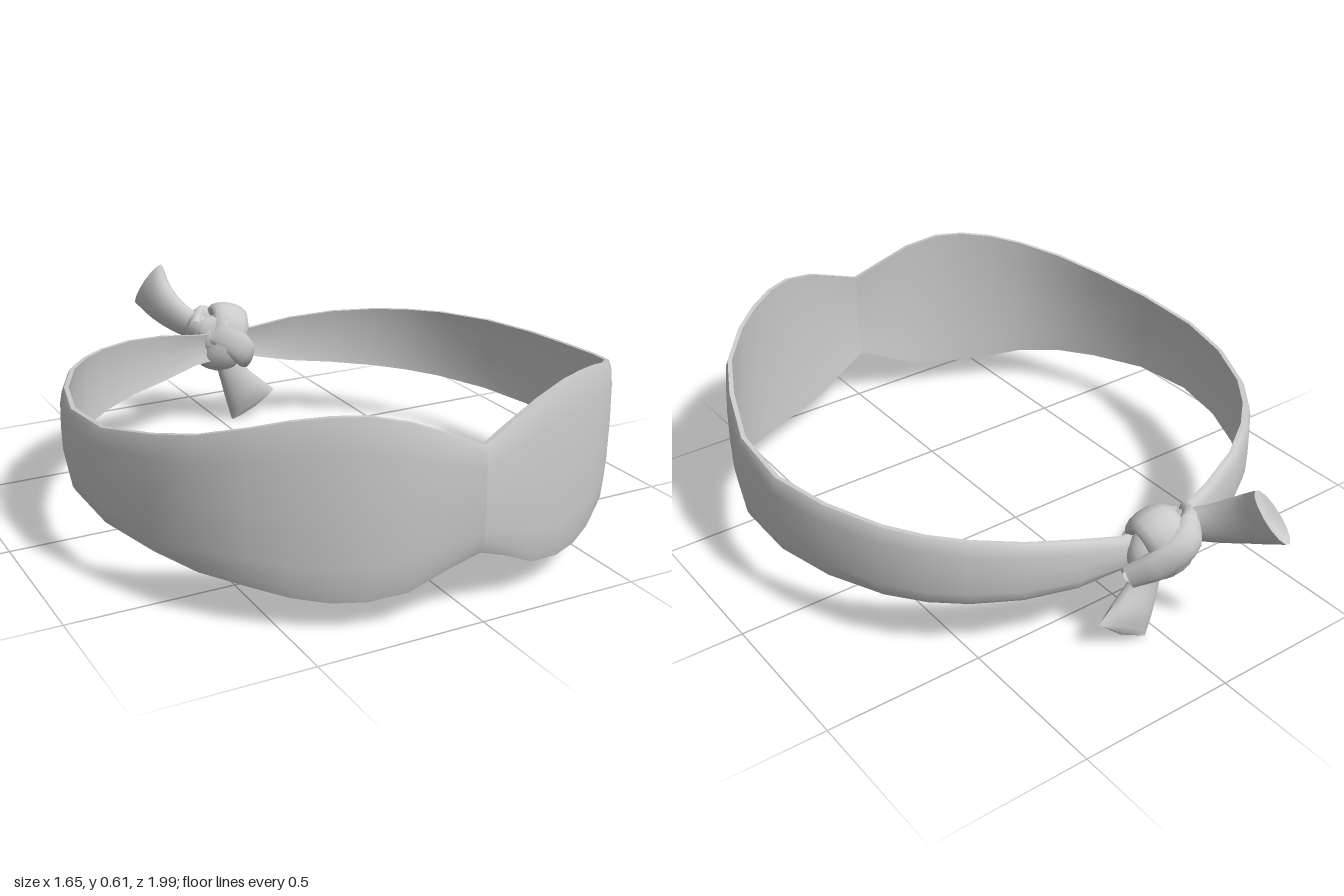
import * as THREE from 'three';
import { toCreasedNormals } from 'three/addons/utils/BufferGeometryUtils.js';

const material = new THREE.MeshStandardMaterial({ color: 0xcccccc, side: THREE.DoubleSide });
const vec = (p) => new THREE.Vector3(...p);

// Skins a row of closed rings; an optional centre point closes the last one.
function skin(rings, tip) {
  const n = rings[0].length, index = [];
  for (let i = 0; i < rings.length - 1; i++) {
    for (let j = 0; j < n; j++) {
      const k = (j + 1) % n;
      const a = i * n + j, b = i * n + k, c = a + n, d = b + n;
      index.push(a, b, d, a, d, c);
    }
  }
  const points = rings.flat();
  if (tip) {
    const last = (rings.length - 1) * n;
    for (let j = 0; j < n; j++) index.push(points.length, last + j, last + (j + 1) % n);
    points.push(tip);
  }
  const geometry = new THREE.BufferGeometry().setFromPoints(points);
  geometry.setIndex(index);
  return toCreasedNormals(geometry, 0.9);
}

// Cloth strip: each station is [centre, half-width vector, half-thickness].
function strip(name, stations, { closed = false, steps = 12, sides = 14, dish = 0 } = {}) {
  const path = new THREE.CatmullRomCurve3(stations.map((s) => vec(s[0])), closed);
  const widths = new THREE.CatmullRomCurve3(stations.map((s) => vec(s[1])), closed);
  const thick = new THREE.CatmullRomCurve3(stations.map((s) => vec([s[2], 0, 0])), closed);
  const rings = [];
  for (let i = 0; i <= steps; i++) {
    const t = i / steps, c = path.getPoint(t), u = widths.getPoint(t);
    const v = path.getTangent(t).cross(u).setLength(thick.getPoint(t).x);
    rings.push(Array.from({ length: sides }, (_, j) => {
      const a = (j / sides) * Math.PI * 2;
      return c.clone().addScaledVector(u, Math.cos(a)).addScaledVector(v, Math.sin(a));
    }));
  }
  const tip = path.getPoint(1).addScaledVector(path.getTangent(1), -dish);
  const mesh = new THREE.Mesh(skin(rings, closed ? null : tip), material);
  mesh.name = name;
  return mesh;
}

// Half of the band, front to back: x, z, bottom, top.
const BAND = [
  [0, 0.99, 0.195, 0.5], [0.09, 0.972, 0.16, 0.537], [0.2, 0.952, 0.107, 0.582],
  [0.31, 0.92, 0.09, 0.607], [0.4, 0.88, 0.09, 0.607], [0.49, 0.825, 0.102, 0.593],
  [0.58, 0.757, 0.125, 0.567], [0.68, 0.645, 0.142, 0.53], [0.75, 0.5, 0.158, 0.497],
  [0.815, 0.3, 0.176, 0.46], [0.825, 0.07, 0.188, 0.443], [0.78, -0.13, 0.192, 0.439],
  [0.7, -0.31, 0.196, 0.432], [0.62, -0.42, 0.2, 0.425], [0.53, -0.505, 0.205, 0.418],
  [0.4, -0.59, 0.213, 0.405], [0.25, -0.65, 0.225, 0.385], [0.12, -0.682, 0.25, 0.36],
  [0, -0.69, 0.26, 0.35],
];

// Cross-section: height fraction from the top, offset outward.
const SECTION = [
  [0, -0.016], [0.06, -0.008], [0.2, -0.002], [0.5, 0], [0.8, -0.002], [0.94, -0.008], [1, -0.016],
  [1, -0.03], [0.8, -0.024], [0.5, -0.022], [0.2, -0.024], [0, -0.03],
];

function bandHalf() {
  const last = BAND.length - 1;
  const rings = BAND.map(([x, z, low, high], i) => {
    const p = BAND[Math.max(i - 1, 0)], q = BAND[Math.min(i + 1, last)];
    const out = new THREE.Vector2(p[1] - q[1], q[0] - p[0]).normalize();
    if (i === 0) out.set(0, 1);
    if (i === last) out.set(0, -1);
    return SECTION.map(([f, d]) =>
      new THREE.Vector3(x + out.x * d, high + (low - high) * f, z + out.y * d));
  });
  return skin(rings);
}

export function createModel() {
  const model = new THREE.Group();

  // Shaped band, mirrored about the nose notch
  const half = bandHalf();
  for (const side of [1, -1]) {
    const mesh = new THREE.Mesh(half, material);
    mesh.name = side > 0 ? 'leftBand' : 'rightBand';
    mesh.scale.x = side;
    model.add(mesh);
  }

  // Knot: core, upright wrap and crossing folds
  const knot = new THREE.Group();
  knot.name = 'knot';
  const core = new THREE.Mesh(new THREE.SphereGeometry(1, 18, 12), material);
  core.name = 'knotCore';
  core.scale.set(0.11, 0.085, 0.065);
  core.position.set(0.01, 0.32, -0.7);
  core.rotation.z = -0.4;
  knot.add(core);

  const wrap = [];
  for (let i = 0; i < 8; i++) {
    const a = (i / 8) * Math.PI * 2;
    wrap.push([[0.01 + 0.03 * Math.cos(a), 0.325 + 0.09 * Math.cos(a), -0.705 + 0.055 * Math.sin(a)],
      [0.062, -0.02, 0.012], 0.032]);
  }
  knot.add(strip('knotWrap', wrap, { closed: true, steps: 24 }));
  knot.add(strip('backFold', [
    [[-0.11, 0.37, -0.68], [0.015, 0.035, 0], 0.02],
    [[-0.06, 0.38, -0.755], [0.025, 0.055, 0], 0.03],
    [[0.04, 0.31, -0.765], [0.03, 0.055, 0], 0.03],
    [[0.12, 0.25, -0.705], [0.02, 0.04, 0], 0.025],
  ]));
  knot.add(strip('innerFold', [
    [[0.1, 0.23, -0.69], [0.02, 0.03, 0], 0.02],
    [[0.065, 0.28, -0.635], [0.03, 0.04, 0], 0.025],
    [[-0.02, 0.36, -0.65], [0.03, 0.045, 0], 0.02],
    [[-0.07, 0.38, -0.69], [0.02, 0.03, 0], 0.02],
  ]));
  model.add(knot);

  // Loose ends flaring out of the knot
  model.add(strip('upperTail', [
    [[-0.06, 0.36, -0.71], [0.01, 0.045, 0.01], 0.03],
    [[-0.11, 0.385, -0.785], [0.005, 0.055, 0.02], 0.035],
    [[-0.15, 0.43, -0.87], [0.015, 0.068, 0.03], 0.04],
    [[-0.165, 0.48, -0.957], [0.035, 0.08, 0.042], 0.03],
  ], { dish: 0.02 }));
  model.add(strip('lowerTail', [
    [[0.015, 0.27, -0.69], [0.04, 0.02, 0], 0.03],
    [[0.04, 0.19, -0.685], [0.045, 0.022, 0.005], 0.032],
    [[0.085, 0.115, -0.69], [0.065, 0.035, 0.008], 0.035],
    [[0.125, 0.052, -0.695], [0.08, 0.05, 0.012], 0.02],
  ], { dish: -0.015 }));

  return model;
}
